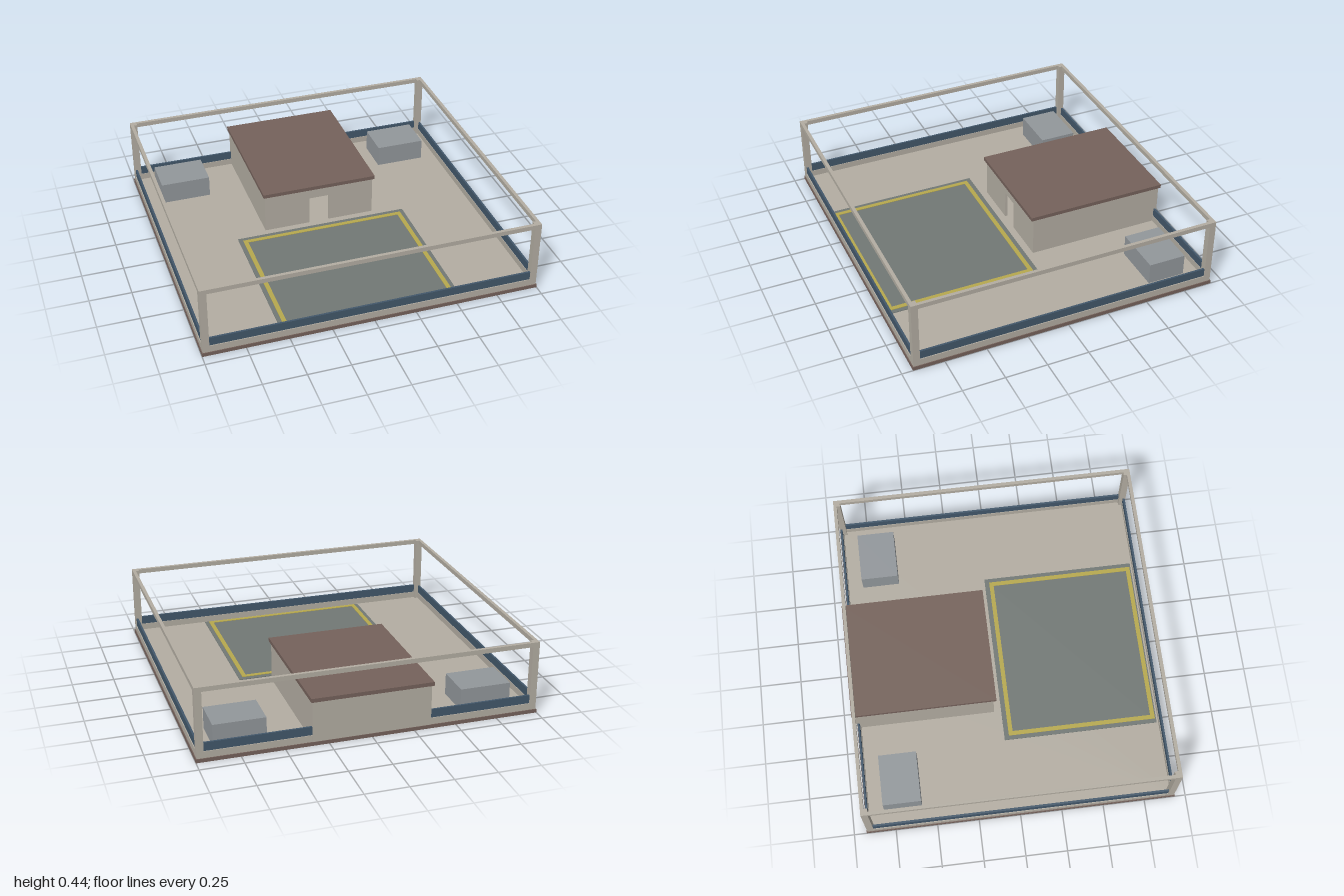
import * as THREE from 'three';

const paint = (name, color) => {
  const m = new THREE.MeshStandardMaterial({ color });
  m.name = name;
  return m;
};

export function createModel() {
  const stone = paint('warm stone', 0xb3ada2);
  const brown = paint('roof brown', 0x75625b);
  const blue = paint('parapet blue', 0x42576a);
  const steel = paint('unit grey', 0x92979b);
  const asphalt = paint('pad grey', 0x727875);
  const yellow = paint('line yellow', 0xb6a84e);

  const model = new THREE.Group();
  model.name = 'rooftopHelipad';

  // Box given by its limits on each axis
  const box = (parent, name, mat, x0, x1, y0, y1, z0, z1) => {
    const mesh = new THREE.Mesh(new THREE.BoxGeometry(x1 - x0, y1 - y0, z1 - z0), mat);
    mesh.position.set((x0 + x1) / 2, (y0 + y1) / 2, (z0 + z1) / 2);
    mesh.name = name;
    parent.add(mesh);
    return mesh;
  };

  const group = (name) => {
    const g = new THREE.Group();
    g.name = name;
    model.add(g);
    return g;
  };

  // Four bars around a rectangle, inside its outer limits
  const ring = (name, mat, x, z0, z1, y0, y1, t) => {
    const g = group(name);
    for (const s of [-1, 1]) {
      const a = s < 0 ? -x : x - t;
      box(g, name + 'Side', mat, a, a + t, y0, y1, z0, z1);
    }
    box(g, name + 'Back', mat, -x + t, x - t, y0, y1, z0, z0 + t);
    box(g, name + 'Front', mat, -x + t, x - t, y0, y1, z1 - t, z1);
    return g;
  };

  const rect = (Type, x0, x1, z0, z1) => new Type([
    new THREE.Vector2(x0, -z0), new THREE.Vector2(x1, -z0),
    new THREE.Vector2(x1, -z1), new THREE.Vector2(x0, -z1),
  ]);

  const FLOOR = 0.023, BACK = -0.925, FRONT = 0.935;

  // Floor slab with a hatch and a stairwell inside the house
  const slab = rect(THREE.Shape, -0.99, 0.99, BACK + 0.01, FRONT - 0.01);
  slab.holes.push(
    rect(THREE.Path, 0.1, 0.3, -0.87, -0.66),
    rect(THREE.Path, -0.32, -0.13, -0.9, -0.35),
  );
  const floor = new THREE.Mesh(
    new THREE.ExtrudeGeometry(slab, { depth: FLOOR, bevelEnabled: false }), stone);
  floor.rotation.x = -Math.PI / 2;
  floor.name = 'floor';
  model.add(floor);

  // Edge trim, parapet and top railing
  ring('edgeTrim', brown, 1, BACK, FRONT, 0, 0.022, 0.01);
  ring('parapetSill', stone, 0.995, BACK + 0.005, FRONT - 0.005, 0.022, 0.062, 0.02);
  ring('parapetPanel', blue, 0.99, BACK + 0.01, FRONT - 0.01, 0.062, 0.112, 0.012);
  ring('topRail', stone, 0.995, BACK + 0.005, FRONT - 0.005, 0.415, 0.442, 0.02);

  // Corner posts
  const posts = group('cornerPosts');
  for (const x of [-0.995, 0.955])
    for (const z of [BACK + 0.005, FRONT - 0.045])
      box(posts, 'cornerPost', stone, x, x + 0.04, FLOOR, 0.442, z, z + 0.04);

  // Stair house: hollow, with an open doorway in front
  const house = group('stairHouse');
  const W = 0.347, HF = -0.083, HB = -0.924, T = 0.015, TOP = 0.268;
  for (const x of [-W, W - T])
    box(house, 'sideWall', stone, x, x + T, FLOOR, TOP, HB, HF);
  box(house, 'backWall', stone, -W + T, W - T, FLOOR, TOP, HB, HB + T);
  for (const [x0, x1] of [[-W + T, -0.063], [0.063, W - T]])
    box(house, 'frontWall', stone, x0, x1, FLOOR, TOP, HF - T, HF);
  box(house, 'doorLintel', stone, -0.063, 0.063, 0.2, TOP, HF - T, HF);
  box(house, 'roof', brown, -0.357, 0.357, TOP, 0.291, -0.935, -0.067);

  // Ventilation units
  for (const x of [-0.88, 0.575])
    box(model, 'ventilationUnit', steel, x, x + 0.305, FLOOR, 0.154, -0.808, -0.58);

  // Landing pad with a yellow border
  box(model, 'landingPad', asphalt, -0.535, 0.535, FLOOR, FLOOR + 0.004, -0.038, 0.9);
  ring('padBorder', yellow, 0.51, -0.01, 0.893, FLOOR + 0.003, FLOOR + 0.007, 0.026);

  return model;
}
